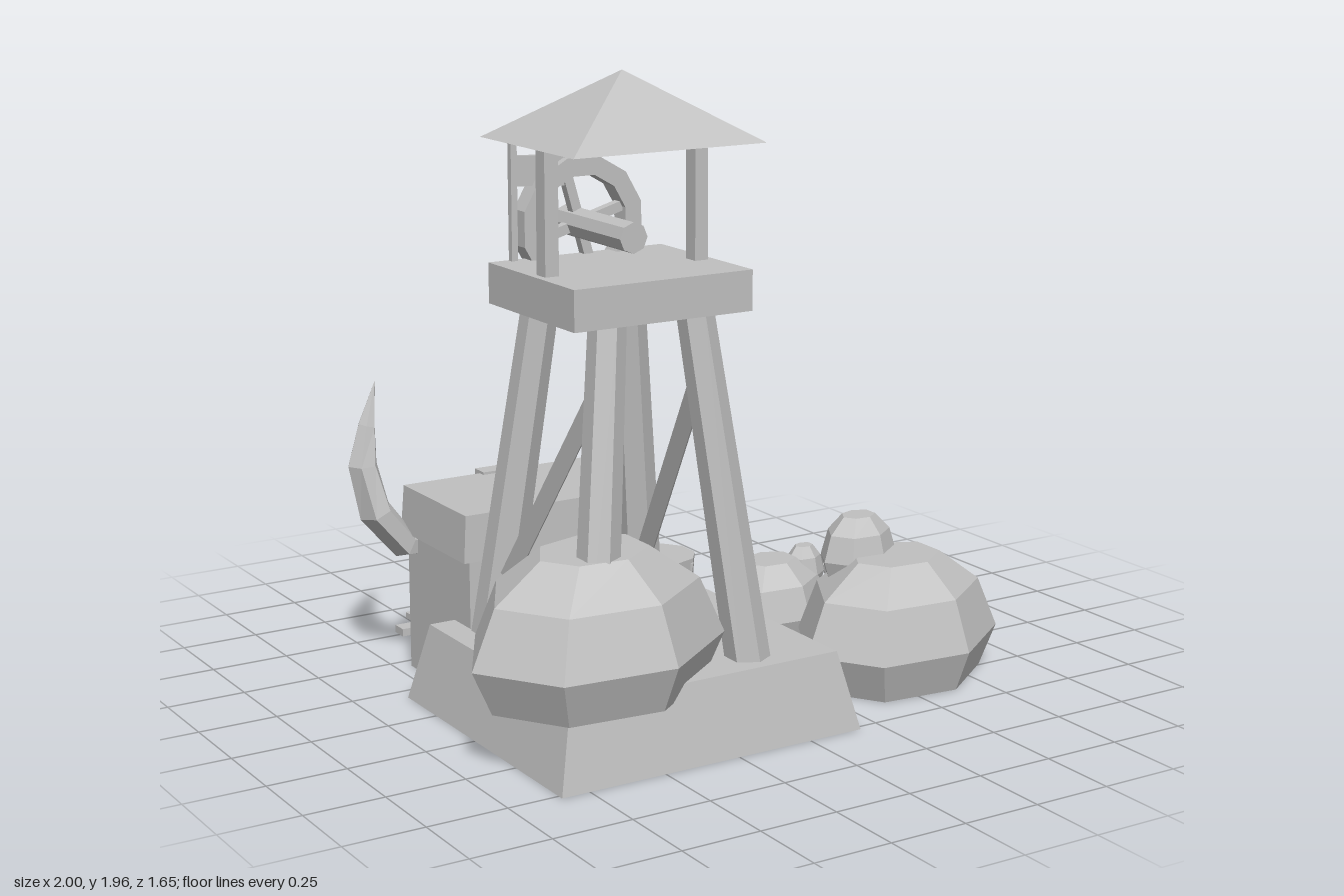
import * as THREE from 'three';

const stone = new THREE.MeshStandardMaterial({ color: 0xc0c0c0, flatShading: true, side: THREE.DoubleSide });
stone.name = 'plain grey';

export function createModel() {
  const root = new THREE.Group();
  root.name = 'mineTower';

  const add = (name, geo, x = 0, y = 0, z = 0) => {
    const m = new THREE.Mesh(geo, stone);
    m.name = name;
    m.position.set(x, y, z);
    root.add(m);
    return m;
  };
  // box given by its limits
  const box = (name, x0, x1, y0, y1, z0, z1) =>
    add(name, new THREE.BoxGeometry(x1 - x0, y1 - y0, z1 - z0), (x0 + x1) / 2, (y0 + y1) / 2, (z0 + z1) / 2);
  // straight beam from a to b
  const beam = (name, a, b, ra, rb, sides) => {
    const p = new THREE.Vector3(...a), q = new THREE.Vector3(...b), d = q.clone().sub(p);
    const m = add(name, new THREE.CylinderGeometry(rb, ra, d.length(), sides));
    m.position.copy(p).add(q).multiplyScalar(0.5);
    m.quaternion.setFromUnitVectors(new THREE.Vector3(0, 1, 0), d.normalize());
    return m;
  };
  // skin over equal rings of points, with optional caps
  const loft = (rings, capStart, capEnd) => {
    const n = rings[0].length, idx = [];
    for (let r = 0; r < rings.length - 1; r++)
      for (let i = 0; i < n; i++) {
        const a = r * n + i, b = r * n + (i + 1) % n;
        idx.push(a, a + n, b, b, a + n, b + n);
      }
    const e = (rings.length - 1) * n;
    for (let i = 1; i < n - 1; i++) {
      if (capStart) idx.push(0, i, i + 1);
      if (capEnd) idx.push(e, e + i + 1, e + i);
    }
    const g = new THREE.BufferGeometry();
    g.setAttribute('position', new THREE.Float32BufferAttribute(rings.flat(2), 3));
    g.setIndex(idx);
    const flat = g.toNonIndexed();
    flat.computeVertexNormals();
    return flat;
  };

  // sloped plinth, open underneath
  const rect = (x0, x1, y, z0, z1) => [[x0, y, z0], [x1, y, z0], [x1, y, z1], [x0, y, z1]];
  add('plinth', loft([rect(-0.84, 0.18, 0, -0.19, 0.77), rect(-0.785, 0.125, 0.24, -0.14, 0.72)], false, true));

  // tower legs and side braces
  const cx = -0.385, cz = 0.315;
  for (const s of [-1, 1]) {
    for (const t of [-1, 1])
      beam('towerLeg', [cx + s * 0.287, 0.01, cz + t * 0.325], [cx + s * 0.145, 1.28, cz + t * 0.19], 0.07, 0.055, 6);
    beam('sideBrace', [cx + s * 0.245, 0.36, 0.03], [cx + s * 0.168, 1.08, 0.5], 0.035, 0.035, 4);
    box('roofPost', cx + s * 0.25 - 0.022, cx + s * 0.25 + 0.022, 1.38, 1.77, 0.328, 0.378);
  }
  box('platform', -0.68, -0.09, 1.266, 1.387, 0.08, 0.58);

  // pyramid roof
  const roofGeo = new THREE.ConeGeometry(Math.SQRT1_2, 0.2, 4);
  roofGeo.rotateY(Math.PI / 4);
  roofGeo.scale(0.63, 1, 0.54);
  add('roof', roofGeo, cx, 1.855, 0.348);

  // winding wheel, spokes and axle
  const wheelShape = new THREE.Shape();
  const hole = new THREE.Path();
  const circle = (path, r) => path.setFromPoints(Array.from({ length: 12 }, (_, i) => {
    const a = (i + 0.5) * Math.PI / 6;
    return new THREE.Vector2(r * Math.cos(a), r * Math.sin(a));
  }));
  circle(wheelShape, 0.205);
  circle(hole, 0.148);
  wheelShape.holes.push(hole);
  add('wheelRim', new THREE.ExtrudeGeometry(wheelShape, { depth: 0.065, bevelEnabled: false }), cx, 1.48, 0.06);
  for (let i = 0; i < 2; i++) {
    const spoke = add('wheelSpoke', new THREE.BoxGeometry(0.31, 0.03, 0.03), cx, 1.48, 0.092);
    spoke.rotation.z = 0.28 + i * Math.PI / 2;
  }
  beam('axle', [cx, 1.48, 0.02], [cx, 1.48, 0.41], 0.046, 0.046, 8);

  // hoist rope and strap
  beam('hoistRope', [-0.19, 1.48, 0.06], [-0.19, 0.58, 0.02], 0.013, 0.013, 4);
  box('strapUpright', -0.615, -0.595, 1.387, 1.74, 0.085, 0.105);
  const strap = box('strap', -0.6, -0.41, 1.6, 1.69, 0.085, 0.1);
  strap.rotation.z = -0.06;

  // mine entrance with a recessed doorway
  box('entranceBody', -0.7, -0.05, 0, 0.46, -0.33, -0.035);
  box('doorPillar', -0.7, -0.555, 0, 0.46, -0.45, -0.33);
  box('doorPillar', -0.195, -0.05, 0, 0.46, -0.45, -0.33);
  add('entranceRoof', loft([rect(-0.72, -0.03, 0.45, -0.46, -0.03), rect(-0.71, -0.04, 0.597, -0.455, -0.035)], true, true));
  box('keystone', -0.44, -0.31, 0.43, 0.605, -0.49, -0.43);

  // rails and sleepers
  for (const s of [-1, 1]) {
    const rail = add('rail', new THREE.BoxGeometry(0.03, 0.02, 0.48), -0.375 + s * 0.128, 0.035, -0.59);
    rail.rotation.y = -s * 0.06;
  }
  for (const z of [-0.752, -0.575, -0.4])
    box('sleeper', z < -0.5 ? -0.595 : -0.54, z < -0.5 ? -0.155 : -0.21, 0, 0.025, z - 0.027, z + 0.027);

  // curved horns: x from the centre, y, z, half thickness, half depth
  const hornPath = [
    [0.2, 0.4, -0.455, 0.035, 0.06],
    [0.345, 0.415, -0.45, 0.05, 0.08],
    [0.44, 0.53, -0.45, 0.053, 0.075],
    [0.47, 0.68, -0.465, 0.048, 0.052],
    [0.445, 0.8, -0.48, 0.028, 0.032],
    [0.405, 0.93, -0.5, 0.001, 0.001],
  ];
  for (const s of [-1, 1]) {
    const rings = hornPath.map(([x, y, z, w, d], k) => {
      const p = hornPath[Math.max(0, k - 1)], q = hornPath[Math.min(hornPath.length - 1, k + 1)];
      const dir = Math.atan2(q[1] - p[1], q[0] - p[0]);
      return Array.from({ length: 6 }, (_, i) => {
        const a = s * i * Math.PI / 3, c = Math.cos(a) * w;
        return [-0.375 + s * (x + Math.sin(dir) * c), y - Math.cos(dir) * c, z + Math.sin(a) * d];
      });
    });
    add('horn', loft(rings, true, true));
  }

  // faceted boulders sharing one outline and profile
  const outline = [[-0.358, 0.037], [-0.214, -0.219], [0.08, -0.3], [0.337, -0.176], [0.337, 0.091], [0.086, 0.273], [-0.219, 0.246]];
  const profile = [[0.84, 0], [1, 0.33], [0.81, 0.74], [0.43, 1]];
  const boulder = (x, y, z, scale, h) =>
    add('boulder', loft(profile.map(([r, v]) => outline.map(([px, pz]) => [px * r * scale, v * h, pz * r * scale])), true, true), x, y, z);
  boulder(-0.588, 0.19, 0.505, 1.15, 0.42);
  boulder(0.563, 0, 0.417, 1, 0.39);
  boulder(0.505, 0.3, 0.295, 0.38, 0.2);
  boulder(0.45, 0, -0.12, 0.61, 0.255);
  boulder(0.81, 0, -0.03, 0.575, 0.265);
  boulder(0.77, 0.15, -0.12, 0.31, 0.16);
  boulder(0.592, 0.14, -0.125, 0.21, 0.14);

  // tub with slim ribs
  const tub = [[0, 0], [0.1, 0], [0.122, 0.1], [0.128, 0.205], [0, 0.205]].map(p => new THREE.Vector2(...p));
  add('tub', new THREE.LatheGeometry(tub, 10), 0.255, 0, -0.5);
  for (let i = 0; i < 8; i++) {
    const a = i * Math.PI / 4 + 0.2, c = Math.cos(a), n = Math.sin(a);
    beam('tubRib', [0.255 + 0.1 * c, 0.01, -0.5 + 0.1 * n], [0.255 + 0.127 * c, 0.19, -0.5 + 0.127 * n], 0.007, 0.007, 4);
  }

  return root;
}
